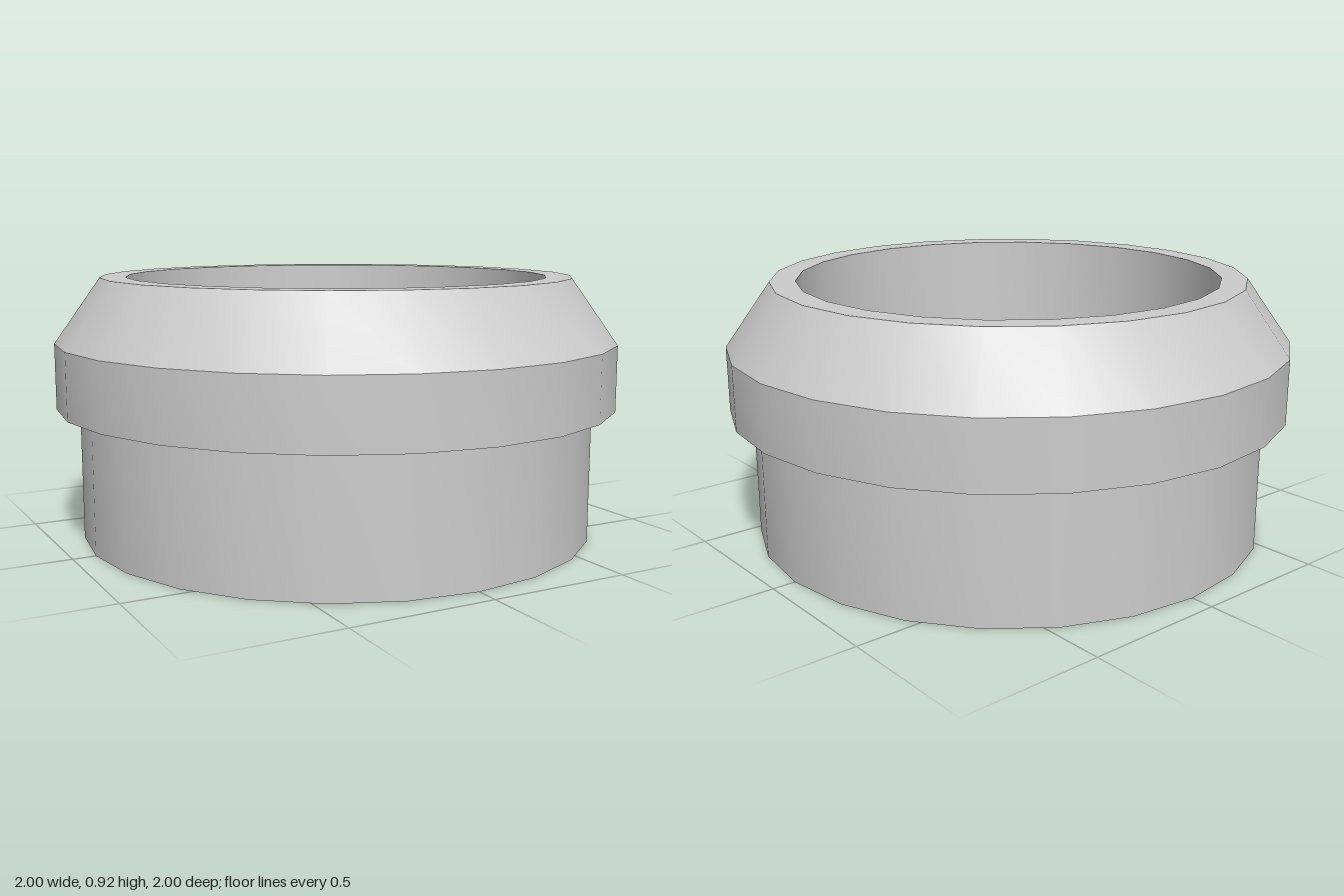
import * as THREE from 'three';
import { toCreasedNormals } from 'three/addons/utils/BufferGeometryUtils.js';

const SIDES = 24;
const BORE = 0.75;

export function createModel() {
  const group = new THREE.Group();
  group.name = 'steppedRing';

  // Closed cross-section [radius, height]: up the outside, down the bore
  const profile = [
    [BORE, 0], [0.92, 0],        // bottom rim
    [0.92, 0.465],               // sleeve wall
    [1, 0.465], [1, 0.695],      // step out to the collar
    [0.84, 0.92],                // chamfer
    [BORE, 0.92], [BORE, 0],     // top rim and bore
  ].map(([r, y]) => new THREE.Vector2(r, y));

  // Round walls stay smooth, steps and chamfer stay sharp
  const geometry = toCreasedNormals(new THREE.LatheGeometry(profile, SIDES), 0.45);
  const ring = new THREE.Mesh(geometry, new THREE.MeshStandardMaterial({ color: 0xcccccc }));
  ring.name = 'collarAndSleeve';
  group.add(ring);

  return group;
}
